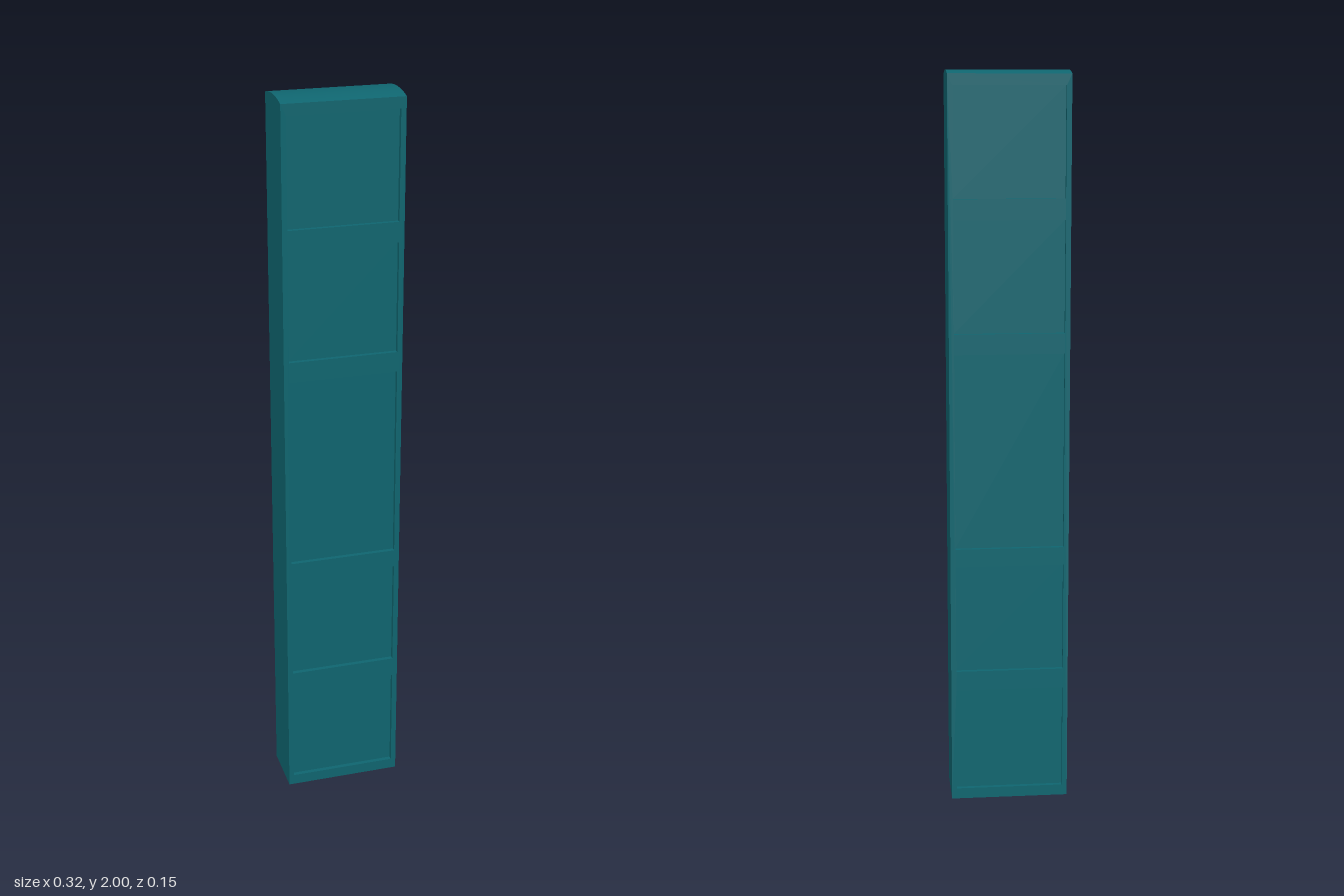
import * as THREE from 'three';

const HALF_W = 0.162, HALF_D = 0.076, SHOULDER = 1.99, RECESS = 0.012;
const PANEL_HALF_W = 0.148;
// bottom and top height of each recessed panel
const PANELS = [[0.03, 0.32], [0.375, 0.675], [0.725, 1.26], [1.315, 1.615], [1.67, 1.96]];

function rect(target, hw, y0, y1) {
  target.moveTo(-hw, y0);
  target.lineTo(hw, y0);
  target.lineTo(hw, y1);
  target.lineTo(-hw, y1);
  target.closePath();
  return target;
}

export function createModel() {
  const group = new THREE.Group();
  group.name = 'panelledPillar';
  const material = new THREE.MeshStandardMaterial({ color: 0x0f6670 });
  const add = (geometry, name) => {
    const mesh = new THREE.Mesh(geometry, material);
    mesh.name = name;
    group.add(mesh);
    return mesh;
  };

  // Upright frame with an opening for every panel
  const outline = rect(new THREE.Shape(), HALF_W, 0, SHOULDER);
  for (const [y0, y1] of PANELS) outline.holes.push(rect(new THREE.Path(), PANEL_HALF_W, y0, y1));
  const frame = new THREE.ExtrudeGeometry(outline, { depth: 2 * HALF_D, bevelEnabled: false });
  add(frame.translate(0, 0, -HALF_D), 'frame');

  // Panels sunk into the front and back of the frame
  PANELS.forEach(([y0, y1], i) => {
    const panel = new THREE.BoxGeometry(2 * PANEL_HALF_W, y1 - y0, 2 * (HALF_D - RECESS));
    add(panel, `recessedPanel${i + 1}`).position.y = (y0 + y1) / 2;
  });

  // Gently arched top, curving from front to back
  const rise = 2 - SHOULDER;
  const radius = (HALF_D * HALF_D + rise * rise) / (2 * rise);
  const angle = Math.asin(HALF_D / radius);
  const arch = new THREE.Shape();
  arch.absarc(0, 2 - radius, radius, Math.PI / 2 - angle, Math.PI / 2 + angle, false);
  arch.closePath();
  const cap = new THREE.ExtrudeGeometry(arch, { depth: 2 * HALF_W, bevelEnabled: false, curveSegments: 12 });
  cap.translate(0, 0, -HALF_W).rotateY(Math.PI / 2);
  add(cap, 'archedTop');

  return group;
}
